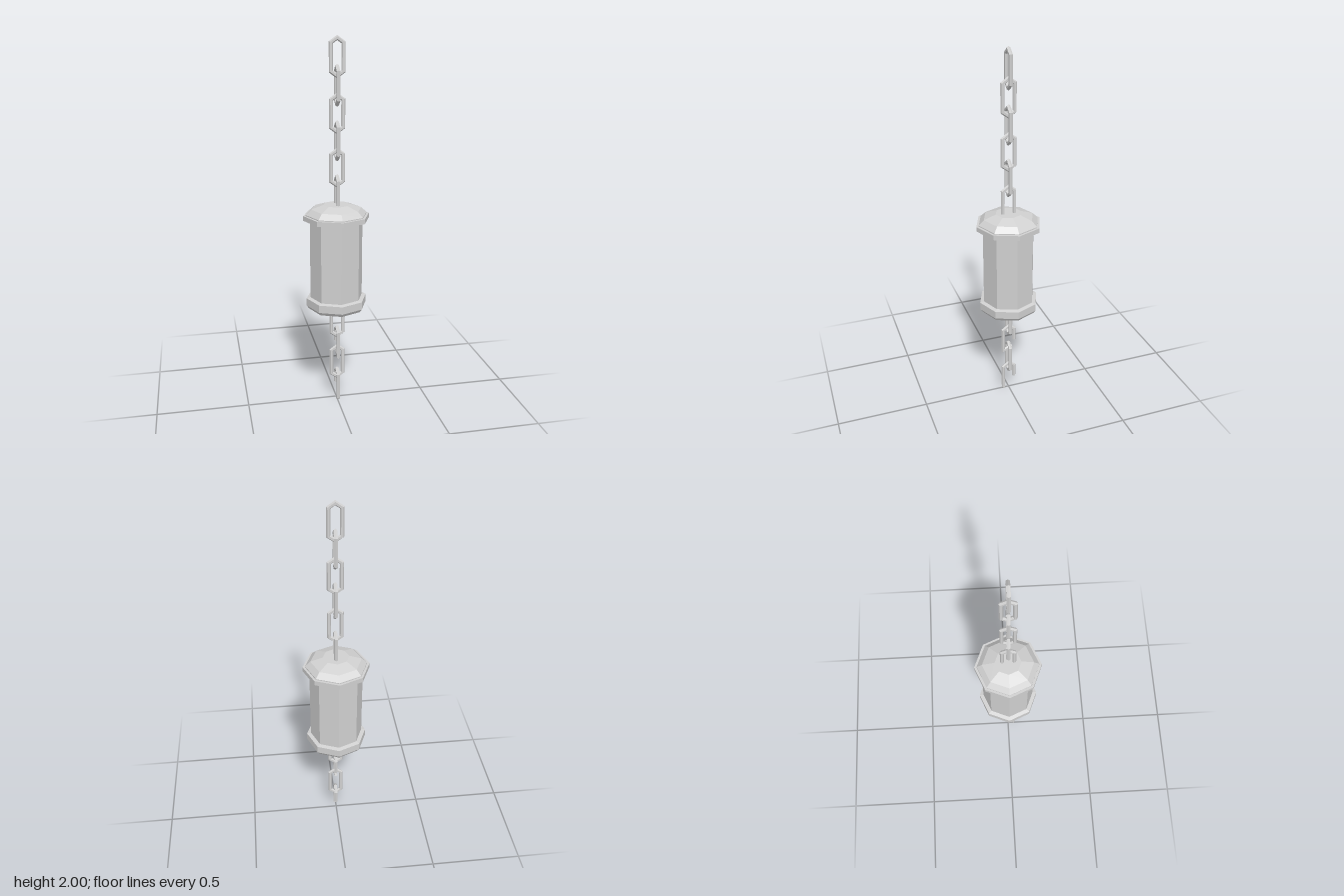
import * as THREE from 'three';

const iron = new THREE.MeshStandardMaterial({ color: 0xd0d0d0, flatShading: true });
iron.name = 'iron grey';

// Sweeps a six-sided bar along a flat path of [u, y] points with mitred corners.
const SIDES = 6;
function barGeometry(path, closed, r = 0.0105) {
  const pts = path.map(([u, y]) => new THREE.Vector2(u, y));
  const n = pts.length;
  const pos = [];
  const index = [];
  const normal = (a, b) => {
    const t = b.clone().sub(a).normalize();
    return new THREE.Vector2(-t.y, t.x);
  };
  pts.forEach((p, i) => {
    const hasPrev = closed || i > 0;
    const hasNext = closed || i < n - 1;
    const before = hasPrev ? normal(pts[(i + n - 1) % n], p) : normal(p, pts[i + 1]);
    const after = hasNext ? normal(p, pts[(i + 1) % n]) : before;
    const m = before.clone().add(after).normalize();
    m.multiplyScalar(r / m.dot(after));
    for (let k = 0; k < SIDES; k++) {
      const a = (k / SIDES) * Math.PI * 2;
      pos.push(p.x + m.x * Math.cos(a), p.y + m.y * Math.cos(a), r * Math.sin(a));
    }
  });
  for (let i = 0; i < (closed ? n : n - 1); i++) {
    const a = i * SIDES;
    const b = ((i + 1) % n) * SIDES;
    for (let k = 0; k < SIDES; k++) {
      const k2 = (k + 1) % SIDES;
      index.push(a + k, a + k2, b + k2, a + k, b + k2, b + k);
    }
  }
  if (!closed) {
    const e = (n - 1) * SIDES;
    for (let k = 1; k < SIDES - 1; k++) index.push(0, k + 1, k, e, e + k, e + k + 1);
  }
  const g = new THREE.BufferGeometry();
  g.setAttribute('position', new THREE.Float32BufferAttribute(pos, 3));
  g.setIndex(index);
  g.computeVertexNormals();
  return g;
}

// Half sizes of a link's centre line
const W = 0.032, SHOULDER = 0.0705, TIP = 0.0935;

export function createModel() {
  const model = new THREE.Group();

  const add = (name, geometry, parent = model) => {
    const mesh = new THREE.Mesh(geometry, iron);
    mesh.name = name;
    parent.add(mesh);
    return mesh;
  };
  const lathe = (name, profile) =>
    add(name, new THREE.LatheGeometry(profile.map(([r, y]) => new THREE.Vector2(r, y)), 8));

  // Eight-sided weight
  lathe('bottomCap', [[0, 0.555], [0.152, 0.555], [0.165, 0.573], [0.165, 0.615], [0.143, 0.62]]);
  lathe('body', [[0.143, 0.6], [0.143, 1.07]]);
  lathe('topRim', [[0.14, 1.054], [0.178, 1.054], [0.178, 1.08], [0.16, 1.08]]);
  lathe('dome', [[0.165, 1.078], [0.165, 1.085], [0.136, 1.113], [0.07, 1.135], [0, 1.135]]);

  // Chain
  const chain = new THREE.Group();
  chain.name = 'chain';
  chain.position.set(0.004, 0, 0.001);
  model.add(chain);

  const link = (name, y, turned, path, closed) => {
    const mesh = add(name, barGeometry(path, closed), chain);
    mesh.position.y = y;
    if (turned) mesh.rotation.y = -Math.PI / 2;
  };
  const ring = [[0, TIP], [-W, SHOULDER], [-W, -SHOULDER], [0, -TIP], [W, -SHOULDER], [W, SHOULDER]];

  // Whole links above the weight, alternating direction
  for (let i = 0; i < 6; i++) link('upperLink', 1.8935 - i * 0.1405, i % 2 === 1, ring, true);

  // Whole links below the weight
  link('lowerLink', 0.474, false, ring, true);
  link('lowerLink', 0.222, false, ring, true);

  // Snapped links with one short arm
  link('brokenLink', 0.336, true,
    [[-W, 0], [-W, SHOULDER], [0, TIP], [W, SHOULDER], [W, -0.066], [-0.02, -0.045]], false);
  link('brokenEndLink', 0.081, true,
    [[-W, -0.002], [-W, SHOULDER], [0, TIP], [W, SHOULDER], [W, -0.07], [0.029, -0.075]], false);

  return model;
}
